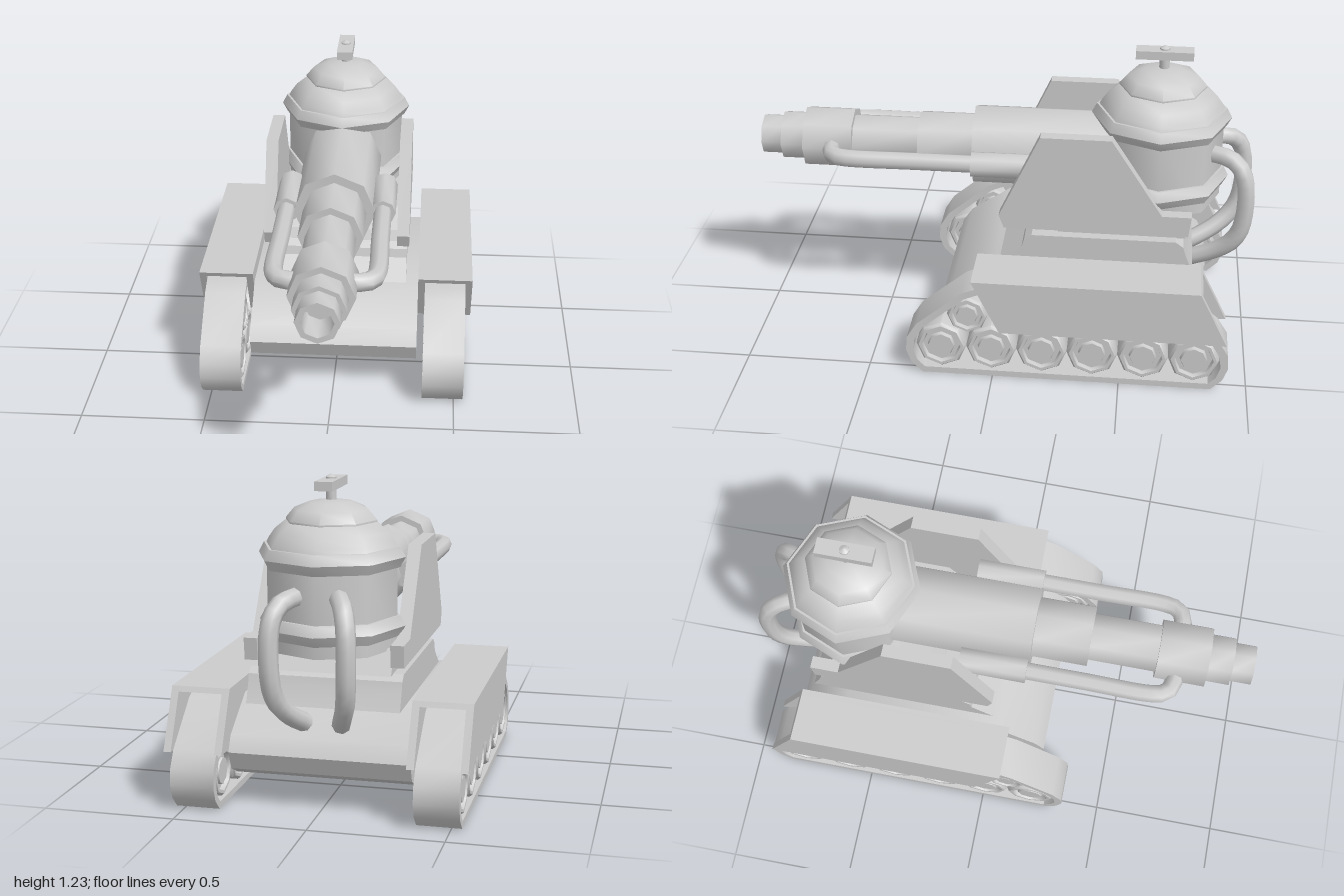
import * as THREE from 'three';
import { toCreasedNormals } from 'three/addons/utils/BufferGeometryUtils.js';

const material = new THREE.MeshStandardMaterial({ color: 0xcccccc });
const CREASE = 0.9; // keeps 45 degree facets smooth, right angles sharp

function add(parent, name, geometry, crease = CREASE) {
  const mesh = new THREE.Mesh(toCreasedNormals(geometry, crease), material);
  mesh.name = name;
  parent.add(mesh);
  return mesh;
}

const toVectors = (points) => points.map(([a, b]) => new THREE.Vector2(a, b));

// Side profile of [z, y] points, extruded from x0 to x1
function prism(points, x0, x1, hole) {
  const shape = new THREE.Shape(toVectors(points));
  if (hole) shape.holes.push(new THREE.Path(toVectors(hole)));
  return new THREE.ExtrudeGeometry(shape, { depth: x1 - x0, bevelEnabled: false })
    .rotateY(-Math.PI / 2).translate(x1, 0, 0);
}

// Prism on the left (s = 1) or right (s = -1)
const sidePrism = (points, a, b, s, hole) =>
  prism(points, Math.min(s * a, s * b), Math.max(s * a, s * b), hole);

// Eight-sided turned part of [radius, height] points
const turned = (points) => new THREE.LatheGeometry(toVectors(points), 8);

function tube(points, radius) {
  const path = new THREE.CatmullRomCurve3(points.map((p) => new THREE.Vector3(...p)), false, 'centripetal');
  return new THREE.TubeGeometry(path, 18, radius, 8, false);
}

function addHull(parent) {
  add(parent, 'hull', prism([[0.13, 0.105], [0.2, 0.14], [0.23, 0.21], [0.19, 0.27], [0.02, 0.385],
    [-0.62, 0.385], [-0.8, 0.27], [-0.83, 0.21], [-0.8, 0.14], [-0.73, 0.105]], -0.342, 0.342), 0.6);
  add(parent, 'upperDeck', prism([[0, 0.385], [-0.09, 0.455], [-0.1, 0.49], [-0.13, 0.512],
    [-0.7, 0.512], [-0.73, 0.49], [-0.74, 0.455], [-0.77, 0.385]], -0.29, 0.29), 0.6);
  add(parent, 'turretBase', prism([[-0.23, 0.51], [-0.29, 0.6], [-0.68, 0.6], [-0.74, 0.51]], -0.25, 0.25), 0.3);
}

function addTrack(parent, s) {
  const track = new THREE.Group();
  track.name = s > 0 ? 'leftTrack' : 'rightTrack';
  parent.add(track);

  // Belt: half outlines mirrored about the track centre
  const mid = -0.29;
  const loop = (half) => [...half.map(([d, y]) => [mid + d, y]),
    ...half.slice().reverse().map(([d, y]) => [mid - d, y])];
  const outer = loop([[0.57, 0], [0.615, 0.045], [0.635, 0.1], [0.63, 0.16], [0.59, 0.225], [0.41, 0.375], [0.35, 0.4]]);
  const inner = loop([[0.56, 0.025], [0.59, 0.055], [0.605, 0.1], [0.6, 0.15], [0.565, 0.21], [0.4, 0.35], [0.34, 0.375]]);
  add(track, 'trackBelt', sidePrism(outer, 0.37, 0.537, s, inner), 0.75);

  // Wheels with a recessed ring and raised hub on both faces
  const face = [[0, 0.075], [0.05, 0.075], [0.055, 0.06], [0.073, 0.06], [0.078, 0.078], [0.09, 0.078], [0.1, 0.065]];
  const wheel = turned([...face.map(([r, h]) => [r, -h]), ...face.slice().reverse()]).rotateZ(-Math.PI / 2);
  const spots = [];
  for (let i = 0; i < 6; i++) spots.push([0.205 - i * 0.199, 0.125, 1]);
  spots.push([0.1, 0.27, 0.8], [-0.68, 0.27, 0.8]);
  for (const [z, y, size] of spots) {
    const mesh = add(track, size === 1 ? 'roadWheel' : 'upperWheel', wheel, 0.79);
    mesh.position.set(s * 0.453, y, z);
    mesh.scale.set(1, size, size);
  }

  // Fender with inner and outer skirts
  const skirt = [[0.08, 0.445], [-0.8, 0.445], [-0.91, 0.222], [-0.03, 0.222]];
  add(track, 'outerSkirt', sidePrism(skirt, 0.537, 0.565, s));
  add(track, 'innerSkirt', sidePrism(skirt, 0.342, 0.37, s));
  add(track, 'fenderTop', sidePrism([[0.08, 0.445], [-0.8, 0.445], [-0.81, 0.425], [0.07, 0.425]], 0.37, 0.537, s));
}

function addTurret(parent) {
  const turret = new THREE.Group();
  turret.name = 'turret';
  turret.position.z = -0.62;
  parent.add(turret);
  add(turret, 'turretBody', turned([[0, 0.59], [0.248, 0.59], [0.248, 0.92], [0, 0.92]]));
  for (const y of [0.675, 0.93]) {
    add(turret, 'turretRing', turned([[0.24, y - 0.038], [0.258, y - 0.038], [0.278, y],
      [0.258, y + 0.038], [0.24, y + 0.038]]), 0.79);
  }
  add(turret, 'dome', turned([[0.255, 0.955], [0.24, 0.985], [0.215, 1.02], [0.165, 1.06], [0, 1.06]]));
  add(turret, 'hatch', turned([[0, 1.055], [0.172, 1.055], [0.172, 1.062], [0.14, 1.1], [0.08, 1.125], [0, 1.135]]));
  add(turret, 'periscopePost', turned([[0.02, 1.12], [0.02, 1.215], [0, 1.227]]));
  add(turret, 'periscopeBar', new THREE.BoxGeometry(0.066, 0.034, 0.225).translate(0, 1.192, 0));
}

function addGun(parent) {
  const gun = new THREE.Group();
  gun.name = 'gun';
  gun.position.y = 0.765;
  parent.add(gun);
  // Stepped barrel: [radius, rear z, front z], ending in a bored muzzle
  const steps = [[0.165, -0.5, 0.125], [0.128, 0.125, 0.35], [0.1, 0.35, 0.62],
    [0.125, 0.62, 0.82], [0.1, 0.82, 0.915], [0.082, 0.915, 1]];
  const profile = [[0, -0.5], ...steps.flatMap(([r, a, b]) => [[r, a], [r, b]]), [0.06, 1], [0.055, 0.88], [0, 0.88]];
  add(gun, 'barrel', turned(profile).rotateX(Math.PI / 2));

  for (const s of [1, -1]) {
    add(gun, 'recoilSleeve', turned([[0, -0.15], [0.052, -0.15], [0.052, 0.12], [0, 0.12]])
      .rotateX(Math.PI / 2).translate(s * 0.193, 0, 0));
    add(gun, 'recoilPipe', tube([[s * 0.193, 0, 0.08], [s * 0.193, 0, 0.35], [s * 0.193, 0, 0.62],
      [s * 0.18, 0, 0.67], [s * 0.15, 0, 0.695], [s * 0.09, 0, 0.7]], 0.036));
  }
}

export function createModel() {
  const model = new THREE.Group();
  model.name = 'tank';
  addHull(model);
  addTurret(model);
  addGun(model);

  for (const s of [1, -1]) {
    addTrack(model, s);
    // Armour plate beside the gun
    add(model, 'sidePlate', sidePrism([[-0.16, 0.945], [-0.435, 0.945], [-0.64, 0.63], [-0.755, 0.63],
      [-0.745, 0.545], [-0.02, 0.545], [0, 0.6]], 0.25, 0.3, s), 0.3);
    // Hose from the turret back down to the hull
    add(model, 'rearHose', tube([[s * 0.07, 0.805, -0.8], [s * 0.095, 0.805, -0.87], [s * 0.12, 0.785, -0.925],
      [s * 0.137, 0.72, -0.96], [s * 0.137, 0.52, -0.96], [s * 0.125, 0.44, -0.925],
      [s * 0.1, 0.38, -0.86], [s * 0.07, 0.325, -0.76]], 0.036));
  }
  return model;
}
